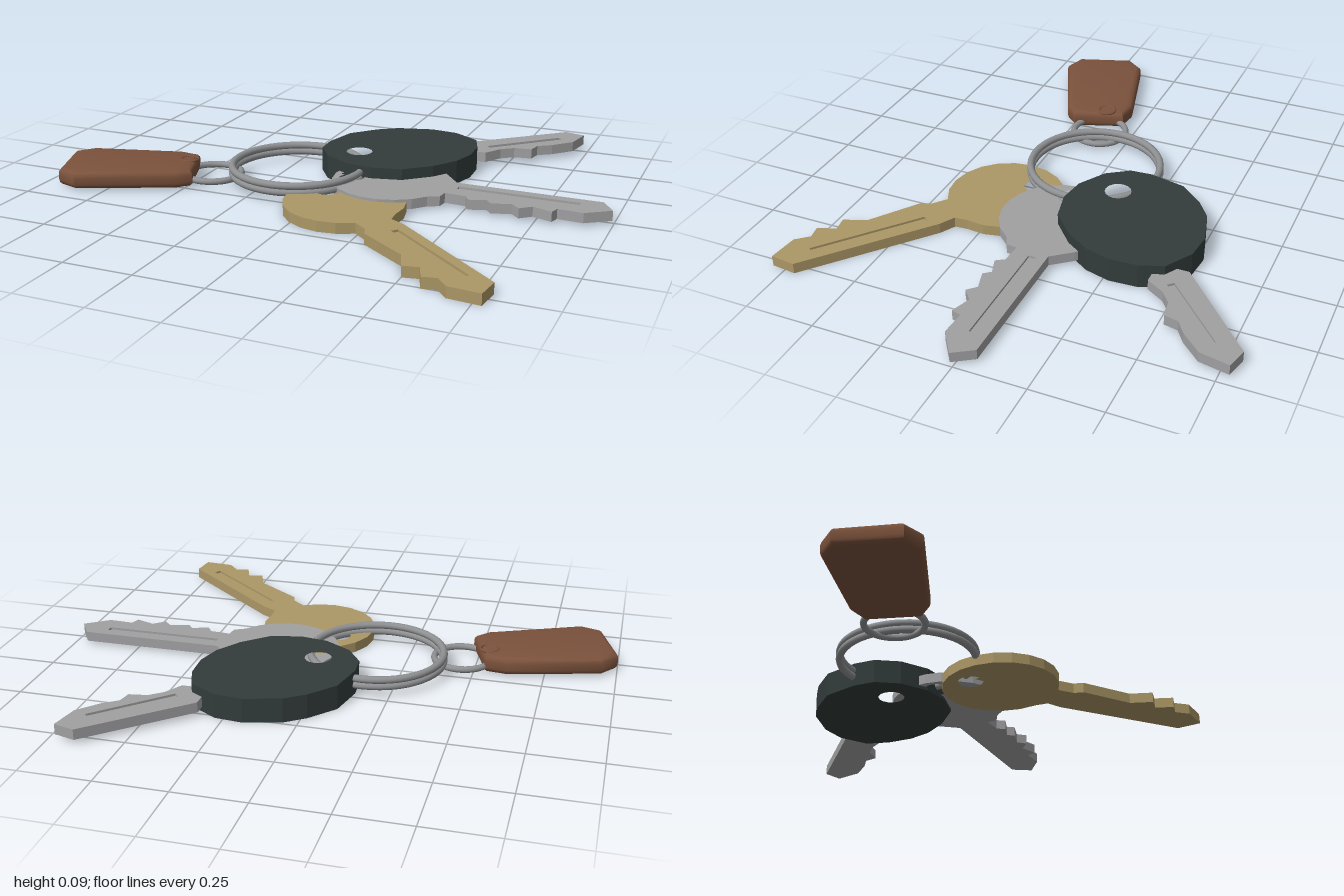
import * as THREE from 'three';
import { toCreasedNormals } from 'three/addons/utils/BufferGeometryUtils.js';

const material = (name, color) => {
  const m = new THREE.MeshStandardMaterial({ color });
  m.name = name;
  return m;
};

// Outlines are [x, z] points on the table plane.
const toPoints = (outline) => outline.map(([x, z]) => new THREE.Vector2(x, -z));

const arc = (x, z, r, from, to, steps) =>
  Array.from({ length: steps + 1 }, (_, i) => {
    const a = from + ((to - from) * i) / steps;
    return [x + r * Math.cos(a), z + r * Math.sin(a)];
  });

const circle = (x, z, r, sides = 16) => arc(x, z, r, 0, Math.PI * 2 * (1 - 1 / sides), sides - 1);

// Narrow rectangle running between two points.
function slot([x0, z0], [x1, z1], width) {
  const len = Math.hypot(x1 - x0, z1 - z0);
  const nx = (-(z1 - z0) / len) * width / 2;
  const nz = ((x1 - x0) / len) * width / 2;
  return [[x0 + nx, z0 + nz], [x1 + nx, z1 + nz], [x1 - nx, z1 - nz], [x0 - nx, z0 - nz]];
}

// Flat plate lying between two heights, with optional holes and bevel.
function plate(name, mat, outline, holes, y0, y1, bevel = 0) {
  const shape = new THREE.Shape(toPoints(outline));
  holes.forEach((h) => shape.holes.push(new THREE.Path(toPoints(h))));
  let geo = new THREE.ExtrudeGeometry(shape, {
    depth: y1 - y0 - 2 * bevel,
    bevelEnabled: bevel > 0,
    bevelSize: bevel,
    bevelThickness: bevel,
    bevelOffset: -bevel,
    bevelSegments: 3,
  });
  geo.translate(0, 0, bevel);
  geo.rotateX(-Math.PI / 2);
  if (bevel) geo = toCreasedNormals(geo, 0.7);
  const mesh = new THREE.Mesh(geo, mat);
  mesh.name = name;
  mesh.position.y = y0;
  return mesh;
}

// Key body with a shallow groove cut into its upper face.
function key(name, mat, outline, holes, groove, y0, y1) {
  const g = new THREE.Group();
  g.name = name;
  const mid = y1 - 0.008;
  g.add(plate(name + 'Body', mat, outline, holes, y0, mid));
  g.add(plate(name + 'GroovedFace', mat, outline, [...holes, groove], mid, y1));
  return g;
}

function ring(name, mat, x, y, z, radius, tube) {
  const geo = new THREE.TorusGeometry(radius, tube, 10, 48);
  geo.rotateX(Math.PI / 2);
  const mesh = new THREE.Mesh(geo, mat);
  mesh.name = name;
  mesh.position.set(x, y, z);
  return mesh;
}

export function createModel() {
  const model = new THREE.Group();
  model.name = 'keyBunch';
  const silver = material('silver', 0xa0a0a2);
  const brass = material('brass', 0xab9766);
  const steel = material('ring steel', 0x8f9092);
  const plastic = material('dark plastic', 0x323c3b);
  const leather = material('brown leather', 0x7b523c);

  // Silver key
  const silverOutline = [
    ...arc(0.205, 0, 0.213, 0.6, Math.PI * 2 - 0.66, 18),
    [0.43, -0.06], [0.95, -0.06], [0.995, 0.01], [0.91, 0.07], [0.82, 0.065],
    [0.81, 0.1], [0.74, 0.075], [0.7, 0.11], [0.67, 0.08], [0.6, 0.1],
    [0.58, 0.075], [0.52, 0.095], [0.5, 0.065], [0.425, 0.06], [0.42, 0.1],
  ];
  model.add(key('silverKey', silver, silverOutline, [circle(0.06, 0.02, 0.048)],
    slot([0.45, -0.01], [0.88, -0.01], 0.026), 0.012, 0.048));

  // Brass key
  const brassOutline = [
    ...arc(0.125, 0.245, 0.213, 1.0, Math.PI * 2 + 0.25, 18),
    [0.335, 0.345], [0.39, 0.375], [0.79, 0.71], [0.78, 0.8], [0.67, 0.79],
    [0.63, 0.745], [0.58, 0.755], [0.555, 0.69], [0.5, 0.7], [0.47, 0.62],
    [0.3, 0.5], [0.29, 0.465],
  ];
  model.add(key('brassKey', brass, brassOutline, [circle(0.03, 0.17, 0.046)],
    slot([0.38, 0.435], [0.7, 0.7], 0.026), 0, 0.038));

  // Car key: steel blade set into a thick plastic head
  const bladeOutline = [
    [0.25, -0.4], [0.335, -0.47], [0.335, -0.525], [0.65, -0.805], [0.725, -0.785],
    [0.705, -0.68], [0.64, -0.61], [0.59, -0.575], [0.58, -0.525], [0.515, -0.515],
    [0.47, -0.48], [0.43, -0.415], [0.39, -0.415], [0.32, -0.34],
  ];
  model.add(key('carKeyBlade', silver, bladeOutline, [],
    slot([0.42, -0.49], [0.65, -0.705], 0.026), 0.018, 0.055));
  const headOutline = [
    [-0.13, -0.22], [-0.1, -0.35], [-0.02, -0.44], [0.05, -0.49], [0.18, -0.525],
    [0.28, -0.515], [0.38, -0.455], [0.41, -0.37], [0.415, -0.27], [0.39, -0.18],
    [0.33, -0.09], [0.24, -0.01], [0.13, 0.015], [0.03, 0], [-0.07, -0.06], [-0.125, -0.14],
  ];
  model.add(plate('carKeyHead', plastic, headOutline, [circle(0.022, -0.148, 0.048)], 0, 0.088));

  // Split ring (two stacked coils) and the small link
  for (const [name, y] of [['lowerCoil', 0.038], ['upperCoil', 0.062]]) {
    model.add(ring(name, steel, -0.155, y, 0.013, 0.241, 0.0135));
  }
  model.add(ring('smallLink', steel, -0.45, 0.024, 0.117, 0.102, 0.012));

  // Leather fob with a pressed eyelet
  const fobOutline = [
    [-1, 0.2], [-0.95, 0.135], [-0.62, 0.045], [-0.54, 0.055],
    [-0.475, 0.235], [-0.52, 0.285], [-0.85, 0.43], [-0.93, 0.405],
  ];
  model.add(plate('leatherFob', leather, fobOutline, [], 0.004, 0.069, 0.02));
  model.add(ring('fobEyelet', leather, -0.545, 0.068, 0.125, 0.032, 0.005));

  return model;
}
